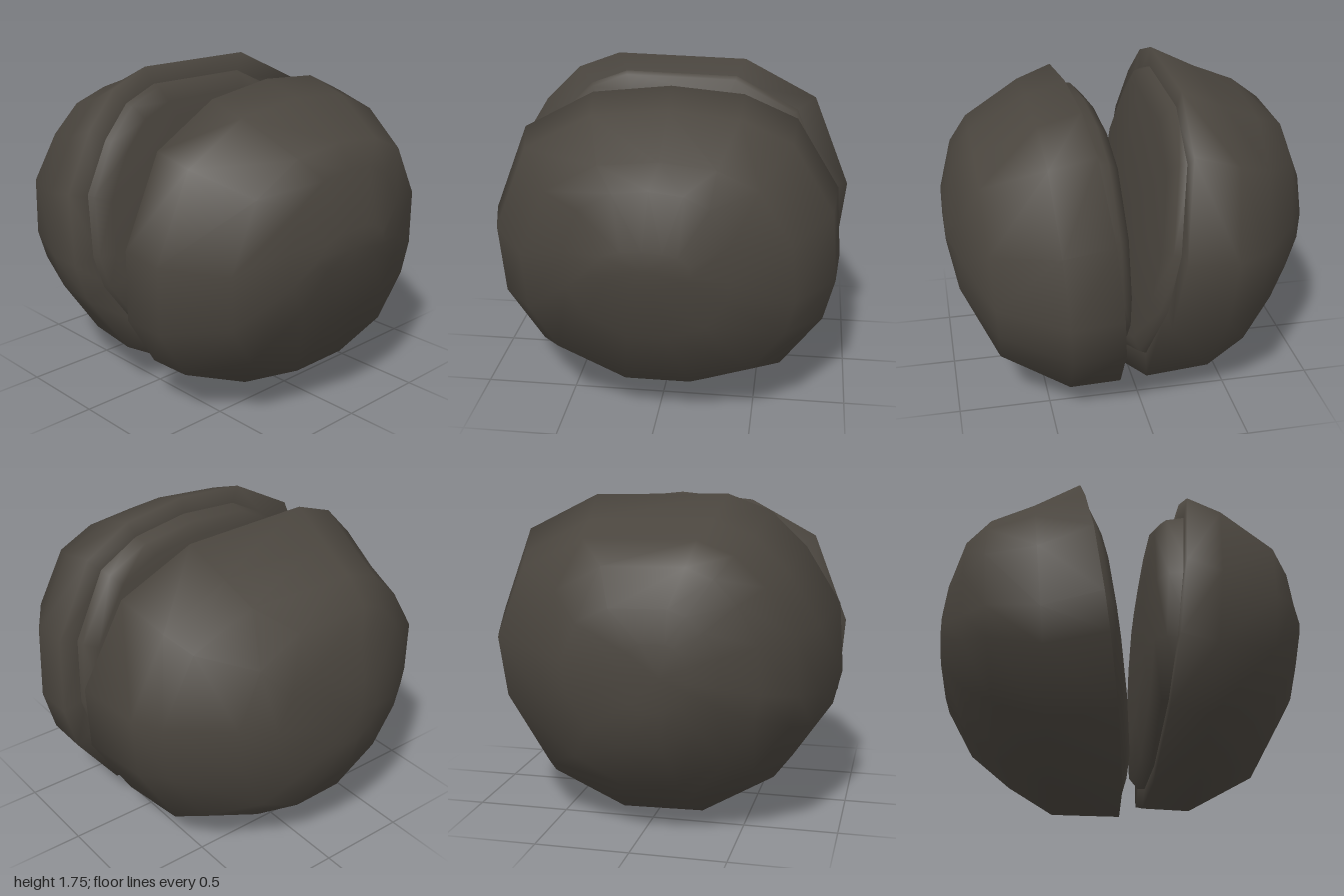
import * as THREE from 'three';

// Rim outlines of the two halves as [z, y], clockwise when seen from +x
const RIGHT_RIM = [[0.58, 1.67], [0.35, 1.755], [-0.37, 1.74], [-0.77, 1.54], [-0.97, 1.06], [-0.92, 0.66],
  [-0.65, 0.21], [-0.22, 0.01], [0.27, 0.02], [0.7, 0.27], [0.92, 0.6], [0.97, 0.8], [0.95, 1.18], [0.77, 1.48]];
const LEFT_RIM = [[0.76, 1.48], [0.39, 1.68], [-0.02, 1.72], [-0.4, 1.68], [-0.68, 1.55], [-0.91, 1.16],
  [-0.94, 0.75], [-0.88, 0.51], [-0.65, 0.2], [-0.22, 0.06], [0.24, 0.06], [0.72, 0.29], [0.92, 0.6], [0.95, 1.0]];
const MID_Y = 0.88;

// Skins scaled copies of an outline. Ring: x, slope in y and z, scale in y and z, centre y and z.
// A ring with scale 0 closes the skin in a single point.
function loft(outline, rings, towardPlusX) {
  const n = outline.length, positions = [], index = [];
  const tri = (a, b, c) => (towardPlusX ? index.push(a, c, b) : index.push(a, b, c));
  rings.forEach(({ x, ky = 0, kz = 0, sy, sz = sy, cy = MID_Y, cz = 0 }, i) => {
    if (sy === 0) {
      positions.push(x, cy, cz);
      for (let j = 0; j < n; j++) tri((i - 1) * n + j, (i - 1) * n + (j + 1) % n, i * n);
      return;
    }
    for (const [pz, py] of outline) {
      const dy = (py - MID_Y) * sy, dz = pz * sz;
      positions.push(x + ky * dy + kz * dz, cy + dy, cz + dz);
    }
    if (i === 0) return;
    for (let j = 0; j < n; j++) {
      const k = (j + 1) % n, a = (i - 1) * n, b = i * n;
      tri(a + j, a + k, b + k);
      tri(a + j, b + k, b + j);
    }
  });
  const geometry = new THREE.BufferGeometry();
  geometry.setAttribute('position', new THREE.Float32BufferAttribute(positions, 3));
  geometry.setIndex(index);
  geometry.computeVertexNormals();
  return geometry;
}

// One half: rounded outer shell that turns in over the rim, and a raised inner pad
function makeHalf(name, side, outline, rim, shellRings, pad, padSteps, material) {
  const half = new THREE.Group();
  half.name = name;
  const add = (part, rings, towardPlusX) => {
    const mesh = new THREE.Mesh(loft(outline, rings, towardPlusX), material);
    mesh.name = part;
    half.add(mesh);
  };
  add('outerShell', [{ ...rim, sy: 0.84 }, { ...rim, sy: 1 }, ...shellRings], side > 0);
  add('innerPad', padSteps.map(([scale, rise]) => ({ ...pad, x: pad.x - side * rise, sy: scale })), side < 0);
  return half;
}

export function createModel() {
  const stone = new THREE.MeshStandardMaterial({ color: 0x4a453e });
  stone.name = 'dark stone';
  const model = new THREE.Group();
  model.name = 'splitBoulder';

  model.add(makeHalf('rightHalf', -1, RIGHT_RIM, { x: -0.12, ky: -0.15 }, [
    { x: -0.43, ky: -0.08, sy: 0.933, sz: 0.915, cy: 0.823 },
    { x: -0.66, ky: -0.06, kz: -0.06, sy: 0.8, sz: 0.835, cy: 0.857, cz: -0.01 },
    { x: -0.84, ky: -0.05, sy: 0.655, sz: 0.595, cy: 0.873, cz: 0.05 },
    { x: -0.95, sy: 0.4, sz: 0.41, cy: 0.9, cz: 0.04 },
    { x: -0.985, sy: 0.2, sz: 0.18, cy: 0.91, cz: 0.12 },
    { x: -1, sy: 0, cy: 0.92, cz: 0.16 },
  ], { x: -0.125, ky: -0.15, cy: 0.89 },
  [[0.88, -0.01], [0.86, 0.04], [0.77, 0.075], [0.4, 0.11], [0, 0.115]], stone));

  model.add(makeHalf('leftHalf', 1, LEFT_RIM, { x: 0.23, ky: 0.09, kz: 0.065 }, [
    { x: 0.46, ky: 0.07, kz: 0.02, sy: 0.965, sz: 0.965, cy: 0.84, cz: -0.01 },
    { x: 0.79, ky: 0.06, sy: 0.75, sz: 0.745, cy: 0.848, cz: -0.01 },
    { x: 0.935, ky: -0.03, sy: 0.465, sz: 0.445, cy: 0.97, cz: 0.02 },
    { x: 0.995, sy: 0.12, sz: 0.26, cy: 0.97, cz: 0.04 },
    { x: 1, sy: 0, cy: 0.97, cz: 0.04 },
  ], { x: 0.23, ky: 0.035, kz: 0.045 },
  [[0.89, -0.07], [0.87, 0.05], [0.8, 0.105], [0.5, 0.135], [0, 0.155]], stone));

  return model;
}
